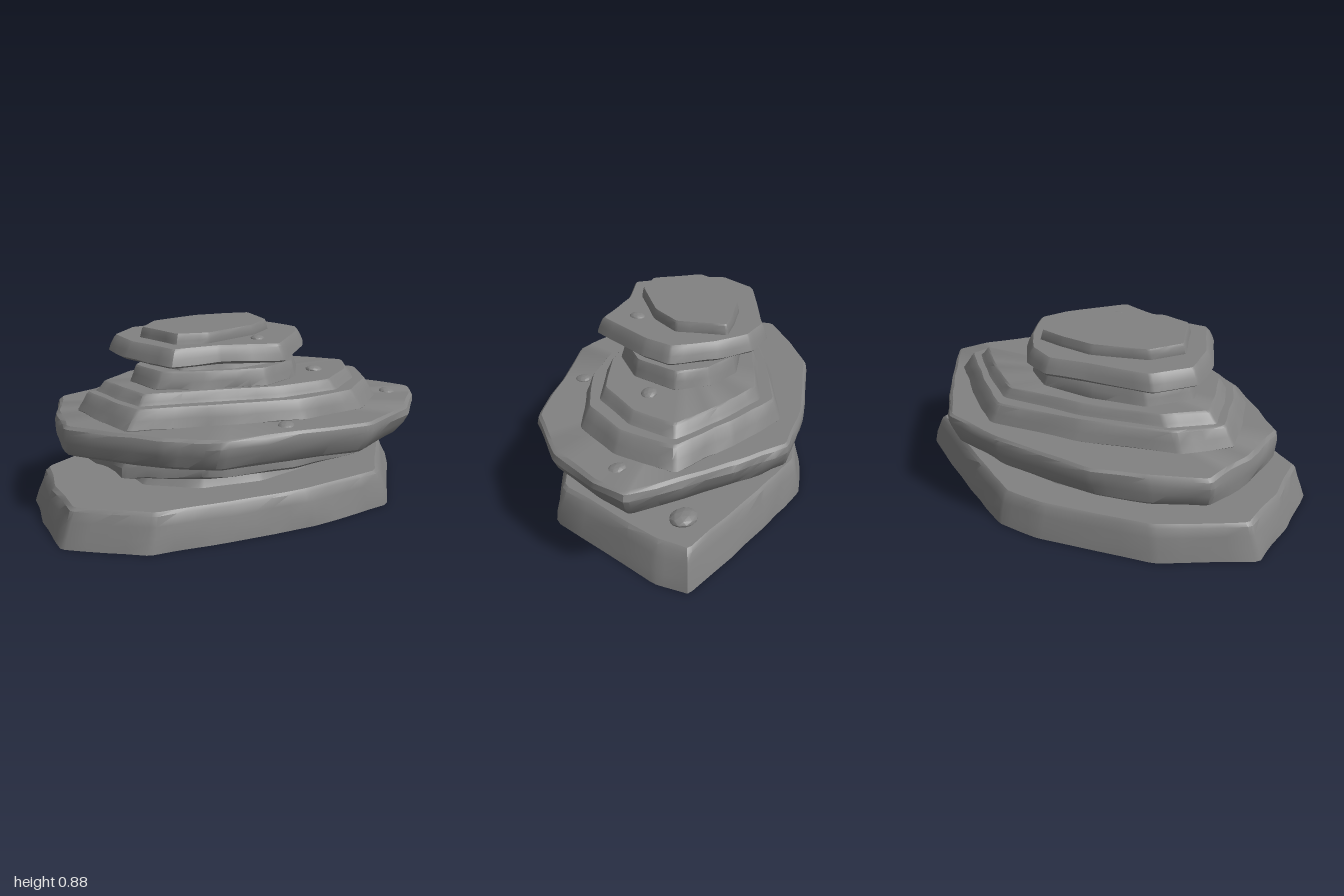
import * as THREE from 'three';
import { toCreasedNormals } from 'three/addons/utils/BufferGeometryUtils.js';

const stone = new THREE.MeshStandardMaterial({ color: 0x828282 });

// Smooth repeatable wobble that roughens the rock faces
const wobble = (x, y, z) =>
  Math.sin(x * 9 + y * 13 + 1.3) * Math.sin(z * 11 - y * 7 + 0.4) + 0.6 * Math.sin(x * 23 + z * 19 + y * 31);

// Rock layer: outline [x, z] corners (back, right, front, left), rows [y, scale, shift in x]
function layer(name, outline, rows, rough = 0.006) {
  const cx = outline.reduce((s, p) => s + p[0], 0) / outline.length;
  const cz = outline.reduce((s, p) => s + p[1], 0) / outline.length;

  // Split each edge and clip its corners slightly
  const ring = [];
  outline.forEach((a, i) => {
    const b = outline[(i + 1) % outline.length];
    for (const t of [0.04, 0.28, 0.5, 0.72, 0.96])
      ring.push([a[0] + (b[0] - a[0]) * t - cx, a[1] + (b[1] - a[1]) * t - cz]);
  });

  const pos = [], index = [], n = ring.length;
  rows.forEach(([y, s, dx = 0], r) => {
    const edge = r === 0 || r === rows.length - 1;
    for (const [x, z] of ring) {
      const k = s + rough * wobble(x, y, z) * 1.2;
      const dy = edge ? 0 : rough * 0.5 * wobble(z, y, x);
      pos.push(cx + x * k + dx, y + dy, cz + z * k);
    }
  });
  for (let r = 0; r < rows.length - 1; r++)
    for (let i = 0; i < n; i++) {
      const a = r * n + i, b = r * n + (i + 1) % n;
      index.push(a, a + n, b, b, a + n, b + n);
    }

  // Flat underside and top
  const low = pos.length / 3, high = low + 1, last = (rows.length - 1) * n;
  pos.push(cx, rows[0][0], cz, cx, rows[rows.length - 1][0], cz);
  for (let i = 0; i < n; i++) {
    const j = (i + 1) % n;
    index.push(low, i, j, high, last + j, last + i);
  }
  const geo = new THREE.BufferGeometry();
  geo.setAttribute('position', new THREE.Float32BufferAttribute(pos, 3));
  geo.setIndex(index);
  const mesh = new THREE.Mesh(toCreasedNormals(geo, 0.55), stone);
  mesh.name = name;
  return mesh;
}

// Straight-sided band with narrow bevels, going from scale s0 at y0 to s1 at y1
function band(y0, y1, s0, s1, bevel = 0.012) {
  const mid = (y0 + y1) / 2;
  return [[y0, s0 - bevel], [y0 + 0.01, s0], [mid, (s0 + s1) / 2], [y1 - 0.01, s1], [y1, s1 - bevel * 1.5]];
}

// Half-buried stone chip
function pebble(x, y, z, r, turn) {
  const mesh = new THREE.Mesh(toCreasedNormals(new THREE.IcosahedronGeometry(1, 1), 0.5), stone);
  mesh.name = 'pebble';
  mesh.position.set(x, y, z);
  mesh.scale.set(r * 1.2, r * 0.5, r);
  mesh.rotation.set(0.1, turn, 0.12);
  return mesh;
}

export function createModel() {
  const model = new THREE.Group();
  model.name = 'layeredRock';

  // Broad foot
  const foot = [[-0.12, -0.63], [0.1, -0.665], [0.4, -0.57], [0.965, -0.36], [0.94, -0.2], [0.69, 0.38], [0.25, 0.54],
    [-0.15, 0.61], [-0.53, 0.66], [-0.9, 0.51], [-0.97, 0.2], [-1, -0.1], [-0.65, -0.42]];
  model.add(layer('base', foot,
    [[0.005, 1], [0.06, 0.985], [0.12, 0.958], [0.165, 0.94], [0.18, 0.92]], 0.004));

  // Recessed neck between foot and lower slab
  const lowerNeck = [[-0.05, -0.43], [0.22, -0.36], [0.37, -0.12], [0.31, 0.22], [0.05, 0.35],
    [-0.25, 0.38], [-0.5, 0.27], [-0.6, 0], [-0.42, -0.28]];
  model.add(layer('lowerNeck', lowerNeck, [[0.17, 1.02], [0.21, 0.96], [0.255, 0.91]]));

  // Thin overhanging slab
  const lowerSlab = [[0, -0.5], [0.35, -0.47], [0.62, -0.27], [0.68, 0], [0.56, 0.28], [0.2, 0.42],
    [-0.25, 0.47], [-0.6, 0.36], [-0.75, 0.05], [-0.6, -0.27], [-0.3, -0.43]];
  model.add(layer('lowerSlab', lowerSlab,
    [[0.25, 0.975], [0.26, 1], [0.3, 1], [0.328, 0.985], [0.345, 0.94]], 0.012));

  // Widest slab, its lower edge cut back on the +x side
  const mainSlab = [[0.1, -0.66], [0.43, -0.65], [0.65, -0.465], [1.005, -0.1], [0.95, 0.06], [0.8, 0.3],
    [0.53, 0.52], [-0.2, 0.62], [-0.45, 0.53], [-0.86, 0.24], [-0.88, -0.05], [-0.86, -0.31], [-0.64, -0.465],
    [-0.4, -0.58]];
  model.add(layer('mainSlab', mainSlab,
    [[0.335, 0.94, -0.03], [0.35, 0.965, -0.025], [0.4, 0.99, -0.01], [0.44, 1], [0.468, 0.99], [0.48, 0.97]], 0.006));

  // Terraces rising from the main slab
  const terrace = [[0.22, -0.565], [0.5, -0.42], [0.78, -0.24], [0.73, 0.05], [0.57, 0.27], [0.25, 0.385],
    [-0.2, 0.385], [-0.57, 0.385], [-0.68, 0.2], [-0.77, -0.02], [-0.62, -0.22], [-0.2, -0.43]];
  model.add(layer('terrace', terrace, band(0.47, 0.57, 1.01, 0.945)));

  const upperTerrace = [[0.22, -0.45], [0.45, -0.34], [0.66, -0.2], [0.6, 0.02], [0.44, 0.22], [0.15, 0.3],
    [-0.25, 0.295], [-0.5, 0.295], [-0.58, 0.15], [-0.66, -0.03], [-0.52, -0.2], [-0.15, -0.36]];
  model.add(layer('upperTerrace', upperTerrace, [[0.56, 1.05], [0.585, 1.01], [0.612, 0.98], [0.62, 0.96]]));

  const pedestal = [[0.1, -0.32], [0.26, -0.24], [0.35, -0.1], [0.28, 0.12], [0.1, 0.255], [-0.2, 0.26],
    [-0.42, 0.22], [-0.52, 0.02], [-0.4, -0.18], [-0.15, -0.28]];
  model.add(layer('pedestal', pedestal, band(0.61, 0.70, 1.01, 0.95)));

  const upperNeck = [[0, -0.25], [0.18, -0.2], [0.25, -0.05], [0.15, 0.14], [-0.05, 0.21], [-0.3, 0.2],
    [-0.42, 0.04], [-0.33, -0.15]];
  model.add(layer('upperNeck', upperNeck, [[0.69, 1.03], [0.72, 0.98], [0.755, 0.94]], 0.012));

  // Overhanging cap and the low crown on it
  const cap = [[-0.02, -0.435], [0.13, -0.4], [0.26, -0.27], [0.375, -0.08], [0.33, 0.06], [0.15, 0.36],
    [-0.15, 0.325], [-0.38, 0.375], [-0.55, 0.12], [-0.605, -0.08], [-0.5, -0.27], [-0.2, -0.365]];
  model.add(layer('cap', cap,
    [[0.75, 0.985], [0.76, 1.01], [0.79, 0.985], [0.82, 0.95], [0.832, 0.925]], 0.005));

  const crown = [[-0.14, -0.265], [0.02, -0.285], [0.15, -0.285], [0.18, -0.05], [0.07, 0.09], [-0.18, 0.245],
    [-0.33, 0.24], [-0.46, 0.02], [-0.38, -0.14]];
  model.add(layer('crown', crown, band(0.82, 0.88, 1.02, 0.99), 0.005));

  // Loose chips resting on the ledges: x, y, z, radius
  [[0.69, 0.18, -0.25, 0.065], [0.13, 0.475, 0.46, 0.04], [0.83, 0.475, 0, 0.038], [0.42, 0.62, 0, 0.038],
    [0.07, 0.83, 0.18, 0.034]]
    .forEach(([x, y, z, r], i) => model.add(pebble(x, y, z, r, i * 1.1)));

  return model;
}
